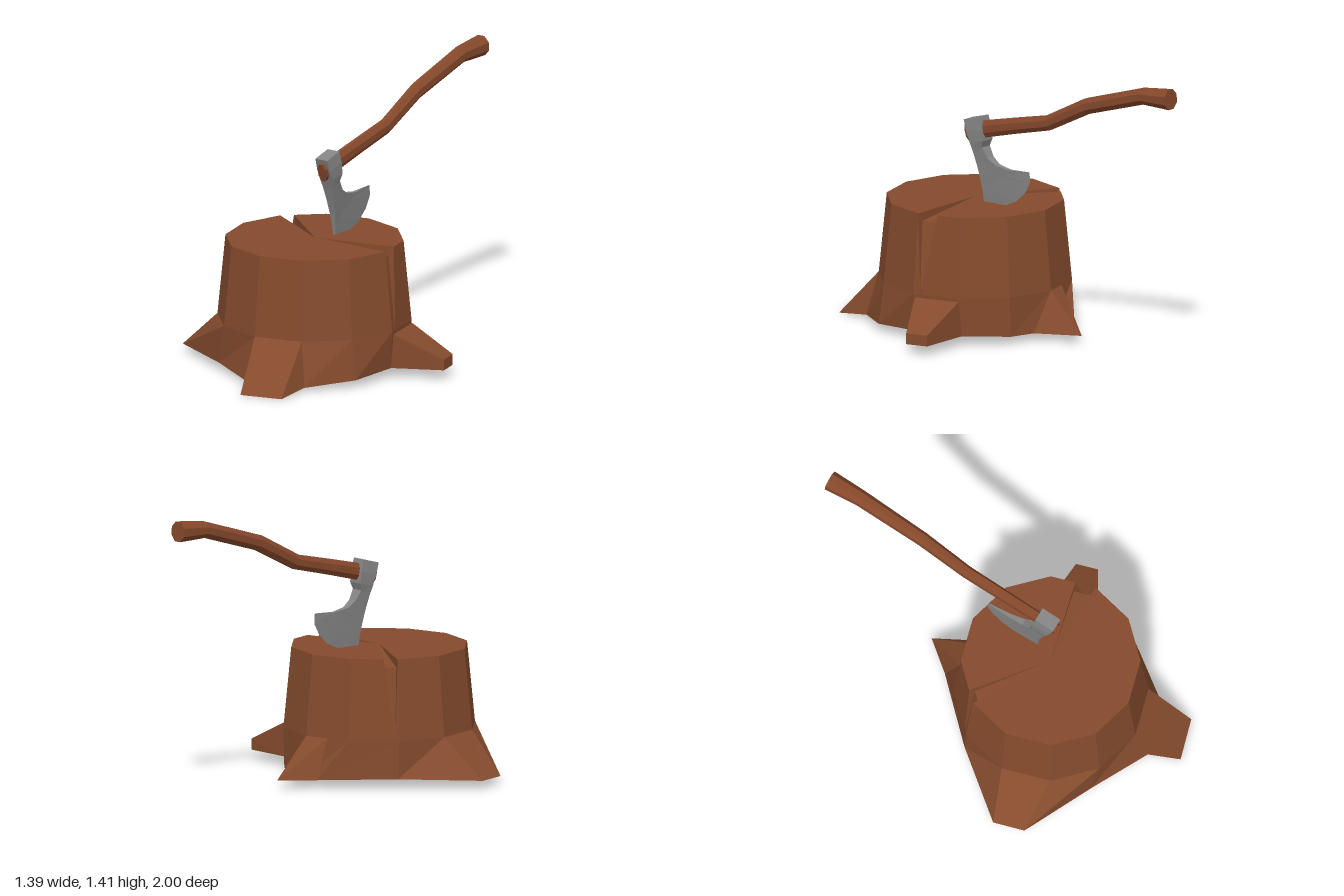
import * as THREE from 'three';
import { ConvexGeometry } from 'three/addons/geometries/ConvexGeometry.js';

const V = (x, y, z) => new THREE.Vector3(x, y, z);

// flat-shaded solid from a list of triangles, turned outward by signed volume
function solid(tris) {
  const volume = tris.reduce((s, [a, b, c]) => s + a.dot(b.clone().cross(c)), 0);
  const points = tris.flatMap(([a, b, c]) => (volume < 0 ? [a, c, b] : [a, b, c]));
  const geo = new THREE.BufferGeometry().setFromPoints(points);
  geo.computeVertexNormals();
  return geo;
}

// closed skin through rings that all have the same number of points
function loft(rings) {
  const tris = [], n = rings[0].length;
  for (let r = 0; r + 1 < rings.length; r++) {
    for (let i = 0; i < n; i++) {
      const j = (i + 1) % n, p = rings[r], q = rings[r + 1];
      tris.push([p[i], p[j], q[j]], [p[i], q[j], q[i]]);
    }
  }
  const first = rings[0], last = rings[rings.length - 1];
  const mid = (ring) => ring.reduce((s, p) => s.add(p), V(0, 0, 0)).divideScalar(n);
  const c0 = mid(first), c1 = mid(last);
  for (let i = 0; i < n; i++) {
    const j = (i + 1) % n;
    tris.push([c0, first[j], first[i]], [c1, last[i], last[j]]);
  }
  return solid(tris);
}

const ringPoint = (i, r, y) => {
  const a = (i * Math.PI) / 6;
  return V(-0.01 + r * Math.cos(a), y, 0.3 + r * Math.sin(a));
};
const upper = [], middle = [];
for (let i = 0; i < 12; i++) {
  upper.push(ringPoint(i, 0.445, 0.645));
  middle.push(ringPoint(i, 0.485, 0.24));
}
// foot outline, spreading into the roots
const foot = [
  [0.46, 0.05, 0.29], [0.44, 0.04, 0.55], [0.28, 0.02, 0.76], [0, 0.02, 0.85],
  [-0.3, 0.04, 0.7], [-0.66, 0.04, 0.525], [-0.7, 0.04, 0.37], [-0.43, 0.05, 0.05],
  [-0.14, 0.04, -0.23], [-0.01, 0.04, -0.2], [0.225, 0.04, -0.12], [0.4, 0.05, 0.05],
].map((p) => V(...p));

function stumpGeometry() {
  const tris = [];
  const quad = (a, b, c, d) => tris.push([a, b, c], [a, c, d]);
  const centre = V(-0.01, 0.645, 0.3), under = V(-0.01, 0.045, 0.3);

  // top and wall rings, with an extra point beside each split
  const top = [], wall = [];
  for (let i = 0; i < 12; i++) {
    top.push(upper[i]);
    wall.push(middle[i]);
    const j = (i + 1) % 12;
    if (i === 7) {
      top.push(upper[7].clone().lerp(upper[8], 0.3));
      wall.push(middle[7].clone().lerp(middle[8], 0.08));
    }
    if (i === 11) {
      top.push(upper[11].clone().lerp(upper[0], 0.55));
      wall.push(middle[11].clone().lerp(middle[0], 0.85));
    }
  }
  const n = top.length;
  const splits = { 7: 8, 13: 13 }; // split edge -> index of its lowest point
  for (let i = 0; i < n; i++) {
    const j = (i + 1) % n, a = top[i], b = top[j];
    if (i in splits) {
      // wedge-shaped split: two walls, a shallow floor and a steep mouth
      const tip = wall[splits[i]];
      const A = a.clone().lerp(centre, 0.07), B = b.clone().lerp(centre, 0.07);
      A.y = B.y = 0.6;
      if (tip === wall[j]) tris.push([a, tip, wall[i]]);
      else tris.push([b, wall[j], tip]);
      tris.push([centre, b, B], [centre, B, A], [centre, A, a]);
      tris.push([B, b, tip], [A, B, tip], [a, A, tip]);
    } else {
      quad(a, b, wall[j], wall[i]);
      tris.push([centre, b, a]);
    }
  }
  // flared foot and underside
  for (let i = 0; i < 12; i++) {
    const j = (i + 1) % 12;
    quad(middle[i], middle[j], foot[j], foot[i]);
    tris.push([under, foot[i], foot[j]]);
  }
  return solid(tris);
}

function handleGeometry() {
  // z, y, half width, half height
  const path = [
    [0.305, 0.984, 0.025, 0.048], [0.2, 1.015, 0.025, 0.043], [0, 1.064, 0.027, 0.04],
    [-0.21, 1.113, 0.029, 0.038], [-0.46, 1.24, 0.033, 0.04], [-0.82, 1.35, 0.039, 0.041],
    [-0.993, 1.36, 0.048, 0.051],
  ];
  return loft(path.map(([z, y, w, h], i) => {
    const p = path[Math.max(i - 1, 0)], q = path[Math.min(i + 1, path.length - 1)];
    const len = Math.hypot(q[0] - p[0], q[1] - p[1]);
    const uz = (q[1] - p[1]) / len, uy = -(q[0] - p[0]) / len;
    return Array.from({ length: 8 }, (_, k) => {
      const a = ((k + 0.5) * Math.PI) / 4, s = Math.sin(a) * h * 1.06;
      return V(0.04 + Math.cos(a) * w * 1.06, y + uy * s, z + uz * s);
    });
  }));
}

function axeHeadGeometry() {
  // front z, y, back z, y, half thickness
  const rows = [
    [0.307, 1.052, 0.207, 1.08, 0.036], [0.287, 0.995, 0.192, 1.02, 0.041],
    [0.267, 0.942, 0.184, 0.96, 0.039], [0.25, 0.89, 0.195, 0.925, 0.031],
    [0.233, 0.83, 0.165, 0.875, 0.024], [0.215, 0.755, 0.12, 0.843, 0.017],
    [0.205, 0.69, 0.04, 0.83, 0.01],
  ];
  // curved cutting edge
  const edge = [[0.2, 0.6], [0.1, 0.63], [0, 0.675], [-0.055, 0.725], [-0.088, 0.785], [-0.085, 0.838]];
  const skin = (pts, t) => [
    ...pts.map(([z, y]) => V(0.037 + t, y, z)),
    ...pts.map(([z, y]) => V(0.037 - t, y, z)).reverse(),
  ];
  const rings = rows.map(([fz, fy, bz, by, t]) =>
    skin(edge.map((_, k) => [fz + ((bz - fz) * k) / 5, fy + ((by - fy) * k) / 5]), t));
  rings.push(skin(edge, 0.001));
  return loft(rings);
}

export function createModel() {
  const bark = new THREE.MeshStandardMaterial({ color: 0x854b2d, flatShading: true });
  bark.name = 'stump wood';
  const wood = new THREE.MeshStandardMaterial({ color: 0x86482b, flatShading: true });
  wood.name = 'handle wood';
  const steel = new THREE.MeshStandardMaterial({ color: 0x858585, flatShading: true });
  steel.name = 'steel';

  const model = new THREE.Group();
  model.name = 'axeInStump';
  const add = (name, geo, mat, parent) => {
    const mesh = new THREE.Mesh(geo, mat);
    mesh.name = name;
    parent.add(mesh);
  };

  const stump = new THREE.Group();
  stump.name = 'stump';
  add('trunk', stumpGeometry(), bark, stump);
  // separate roots
  add('frontRoot', new ConvexGeometry([
    middle[2], middle[3], foot[2], foot[3], V(0.065, 0, 1), V(0.275, 0, 0.94),
  ]), bark, stump);
  add('leftRoot', new ConvexGeometry([
    V(0.475, 0.225, 0.29), V(0.415, 0.225, 0.06), foot[0], foot[11],
    V(0.695, 0.105, 0.165), V(0.665, 0.105, 0.055), V(0.695, 0.05, 0.165), V(0.665, 0.05, 0.055),
  ]), bark, stump);
  add('backRoot', new ConvexGeometry([
    middle[9], middle[8].clone().lerp(middle[9], 0.5), foot[8], V(0.1, 0.04, -0.16), V(-0.012, 0.04, -0.38),
  ]), bark, stump);

  const axe = new THREE.Group();
  axe.name = 'axe';
  add('handle', handleGeometry(), wood, axe);
  add('axeHead', axeHeadGeometry(), steel, axe);

  model.add(stump, axe);
  return model;
}
